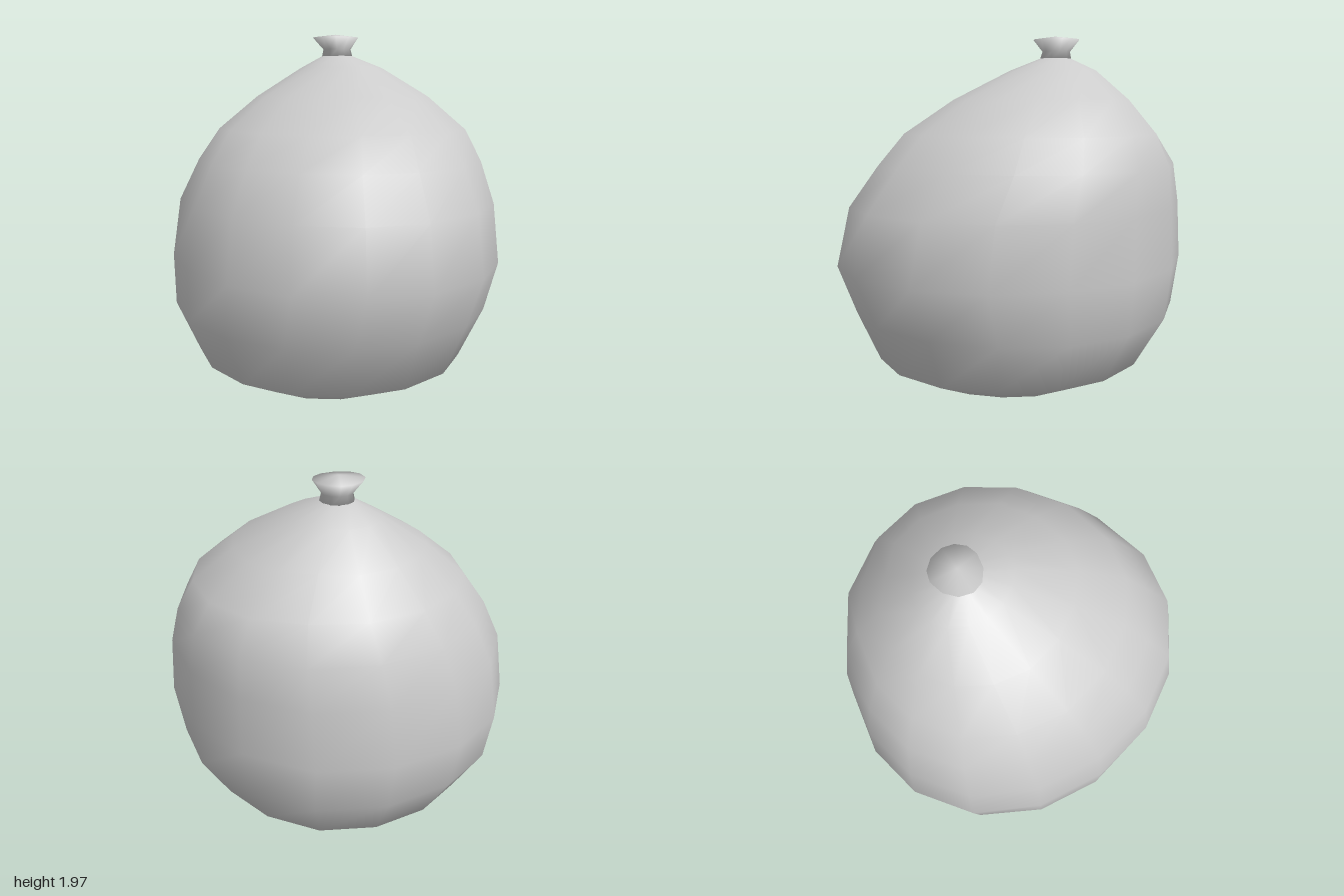
import * as THREE from 'three';

const material = new THREE.MeshStandardMaterial({ color: 0xcccccc });

// Skin closed rings, bottom to top, with a pole point at each end.
// Ring: [y, xMin, xMax, zMin, zMax, xCentre, zCentre]; pole: [x, y, z].
function loft(name, rings, sides, bottom, top, shape = () => 1) {
  const positions = [];
  const index = [];
  for (const [y, x0, x1, z0, z1, cx, cz] of rings) {
    for (let i = 0; i < sides; i++) {
      const a = (i / sides) * Math.PI * 2;
      const c = Math.cos(a), s = Math.sin(a), k = shape(a, y);
      positions.push(
        cx + k * c * (c > 0 ? x1 - cx : cx - x0), y,
        cz + k * s * (s > 0 ? z1 - cz : cz - z0));
    }
  }
  const low = rings.length * sides, high = low + 1;
  positions.push(...bottom, ...top);
  const last = (rings.length - 1) * sides;
  for (let i = 0; i < sides; i++) {
    const n = (i + 1) % sides;
    for (let b = 0; b < last; b += sides) {
      index.push(b + i, b + sides + i, b + n, b + n, b + sides + i, b + sides + n);
    }
    index.push(low, i, n, high, last + n, last + i);
  }
  const geometry = new THREE.BufferGeometry();
  geometry.setAttribute('position', new THREE.Float32BufferAttribute(positions, 3));
  geometry.setIndex(index);
  geometry.computeVertexNormals();
  const mesh = new THREE.Mesh(geometry, material);
  mesh.name = name;
  return mesh;
}

// Fuller at the back left and right, drawn in by folds toward the tie
function sackShape(a, y) {
  const bump = (centre, width) => {
    const d = Math.atan2(Math.sin(a - centre), Math.cos(a - centre));
    return Math.exp(-((d / width) ** 2));
  };
  const upper = THREE.MathUtils.smoothstep(y, 1.2, 1.65);
  return 1
    + (1 - upper) * (0.03 * bump(-2.4, 0.5) + 0.02 * bump(-0.8, 0.4) - 0.025 * bump(0.75, 0.4))
    - upper * (0.07 * bump(-0.8, 0.3) + 0.04 * bump(2.5, 0.3));
}

export function createModel() {
  const group = new THREE.Group();
  group.name = 'tiedSack';

  // Slumped sack, leaning back and to its left as it narrows to the tie
  group.add(loft('sackBody', [
    [0.03, -0.53, 0.43, -0.49, 0.47, -0.05, 0],
    [0.17, -0.79, 0.72, -0.79, 0.76, -0.05, 0],
    [0.45, -0.91, 0.88, -0.95, 0.88, -0.06, 0],
    [0.73, -0.91, 0.91, -1.0, 1.0, -0.06, 0],
    [1.05, -0.86, 0.9, -0.96, 0.93, -0.04, -0.01],
    [1.27, -0.74, 0.88, -0.89, 0.78, 0, -0.05],
    [1.44, -0.62, 0.8, -0.79, 0.65, 0.04, -0.09],
    [1.62, -0.38, 0.61, -0.64, 0.39, 0.08, -0.15],
    [1.78, -0.1, 0.38, -0.46, 0.07, 0.11, -0.2],
    [1.85, 0.03, 0.21, -0.31, -0.12, 0.12, -0.22],
  ], 16, [-0.05, 0.005, 0], [0.12, 1.87, -0.22], sackShape));

  // Gathered neck flaring out above the tie
  group.add(loft('sackNeck', [
    [1.84, 0.03, 0.21, -0.31, -0.12, 0.12, -0.22],
    [1.89, 0.04, 0.2, -0.3, -0.14, 0.12, -0.22],
    [1.958, -0.025, 0.245, -0.355, -0.1, 0.13, -0.22],
  ], 12, [0.12, 1.82, -0.22], [0.11, 1.975, -0.22]));

  return group;
}
